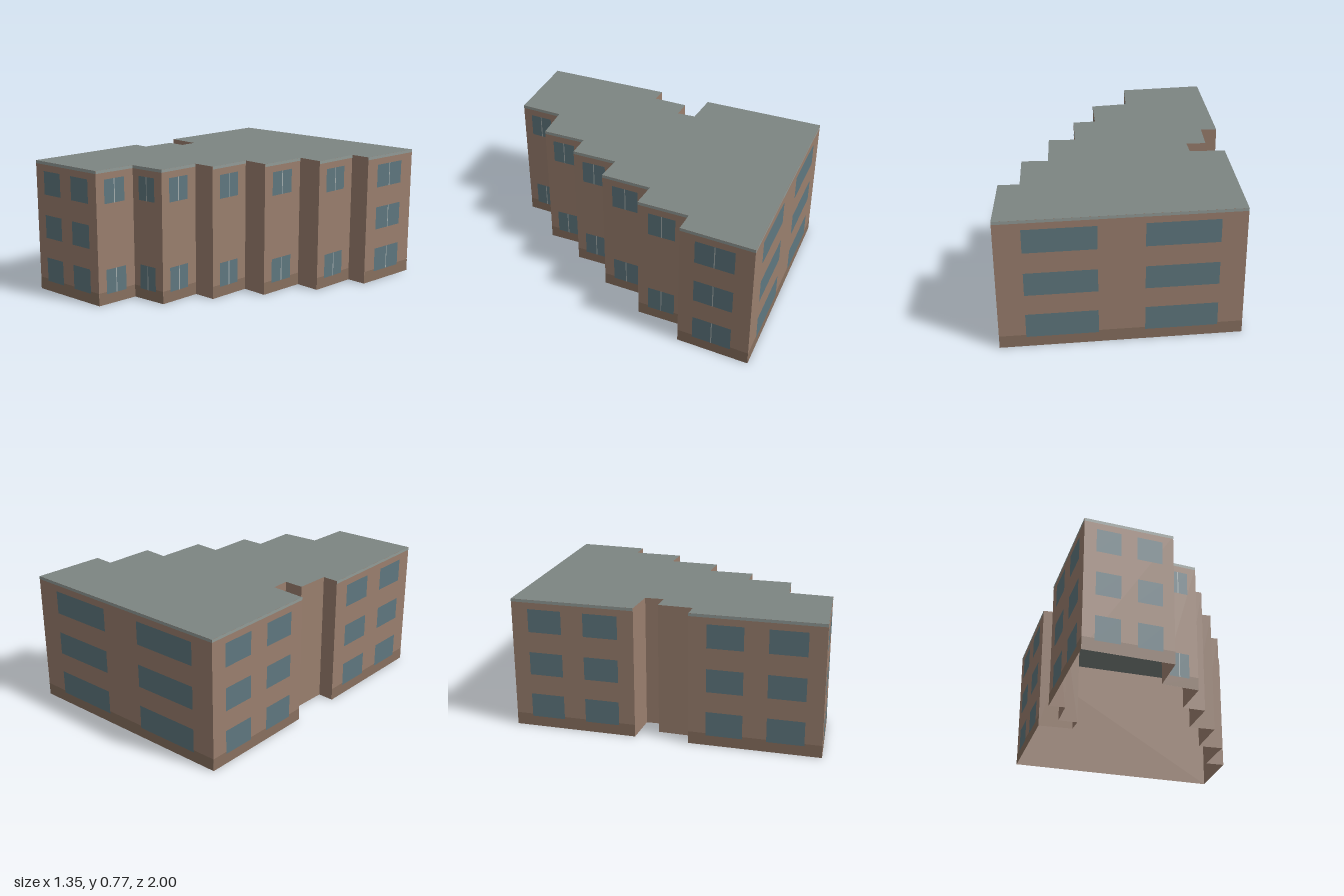
import * as THREE from 'three';

const HEIGHT = 0.775;
const ROWS = [[0.06, 0.203], [0.323, 0.46], [0.582, 0.72]];
const PAIR = [[0.135, 0.41], [0.59, 0.87]];
const WIDE = [[0.11, 0.405], [0.595, 0.895]];
const SINGLE = [[0.21, 0.75]];

const material = (color) => new THREE.MeshStandardMaterial({ color, side: THREE.DoubleSide });
const facing = (color) => new THREE.MeshStandardMaterial({ color });

// Footprint corners [x, z], each starting the wall that runs to the next corner.
// Third entry: wall kind (blank walls have none).
const CORNERS = [
  [-0.445, 1, 'pair'], [0.053, 0.9, 'stair'],
  [0.03, 0.645, 'none'], [0.243, 0.595, 'stair'],
  [0.21, 0.34, 'none'], [0.343, 0.318, 'stair'],
  [0.31, 0.052, 'none'], [0.466, 0.038, 'stair'],
  [0.437, -0.257, 'none'], [0.588, -0.27, 'stair'],
  [0.556, -0.567, 'none'], [0.675, -0.58, 'end'],
  [0.642, -1, 'wide'], [-0.677, -0.788, 'pair'],
  [-0.583, -0.067, 'none'], [-0.378, -0.085, 'none'],
  [-0.36, 0.021, 'none'], [-0.473, 0.035, 'none'],
  [-0.452, 0.237, 'none'], [-0.546, 0.247, 'pair'],
];
CORNERS[2][2] = 'stair'; // the first step's front also has windows

// Columns and storeys of windows for each kind of wall
const KINDS = {
  none: null,
  pair: { columns: PAIR, rows: [0, 1, 2] },
  wide: { columns: WIDE, rows: [0, 1, 2] },
  stair: { columns: SINGLE, rows: [0, 2], mullion: true },
  end: { columns: SINGLE, rows: [0, 1, 2], mullion: true },
};

export function createModel() {
  const model = new THREE.Group();
  model.name = 'building';
  const brick = material(0x9a7f6e);
  const plinth = facing(0x88705f);
  const glass = facing(0x5f777f);
  const frame = facing(0xa3adad);
  const fascia = facing(0x929b97);
  const roofing = material(0x7d8582);

  // Upright rectangle on a wall, x measured along the wall
  const panel = (parent, name, mat, x0, x1, y0, y1, z) => {
    const mesh = new THREE.Mesh(new THREE.PlaneGeometry(x1 - x0, y1 - y0), mat);
    mesh.position.set((x0 + x1) / 2, (y0 + y1) / 2, z);
    mesh.name = name;
    parent.add(mesh);
  };

  CORNERS.forEach(([x, z, kind], i) => {
    const [nx, nz] = CORNERS[(i + 1) % CORNERS.length];
    const length = Math.hypot(nx - x, nz - z);
    const wall = new THREE.Group();
    wall.name = 'wall' + (i + 1);
    wall.position.set(x, 0, z);
    wall.rotation.y = Math.atan2(z - nz, nx - x);
    model.add(wall);
    panel(wall, 'wallFace', brick, 0, length, 0, HEIGHT, 0);

    const layout = KINDS[kind];
    if (!layout) return;
    panel(wall, 'baseBand', plinth, 0, length, 0, 0.073, 0.001);
    panel(wall, 'roofEdge', fascia, 0, length, 0.758, HEIGHT, 0.001);
    for (const [a, b] of layout.columns) {
      for (const r of layout.rows) {
        const [y0, y1] = ROWS[r];
        panel(wall, 'window', glass, a * length, b * length, y0, y1, 0.002);
        if (!layout.mullion) continue;
        const mid = ((a + b) / 2) * length;
        panel(wall, 'mullion', frame, mid - 0.003, mid + 0.003, y0, y1, 0.003);
      }
    }
  });

  // Flat roof over the stepped footprint; the underside is left open
  const outline = new THREE.Shape(CORNERS.map(([x, z]) => new THREE.Vector2(x, -z)));
  const roof = new THREE.Mesh(new THREE.ShapeGeometry(outline), roofing);
  roof.name = 'roof';
  roof.rotation.x = -Math.PI / 2;
  roof.position.y = HEIGHT;
  model.add(roof);

  return model;
}
